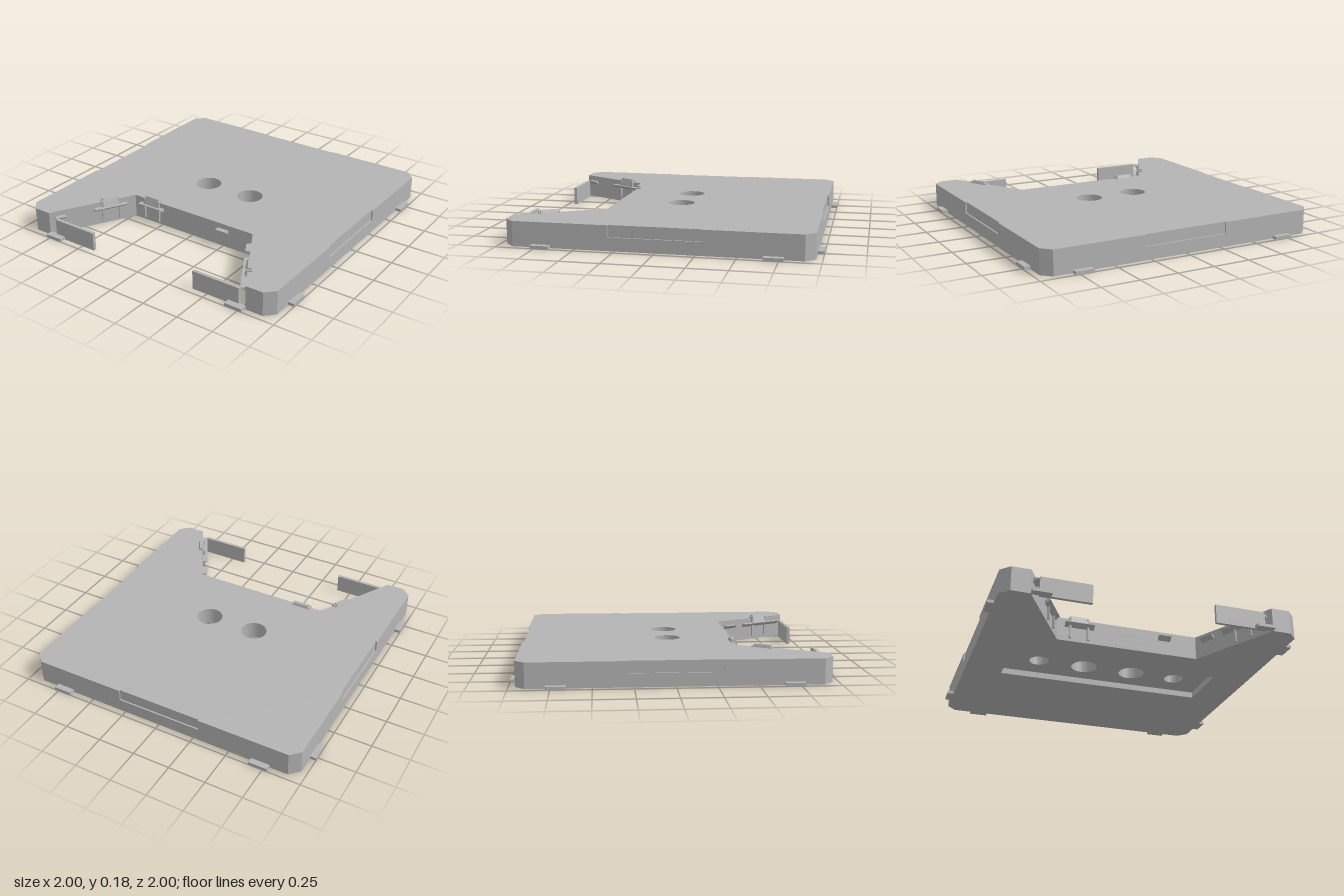
import * as THREE from 'three';

export function createModel() {
  const model = new THREE.Group();
  const grey = new THREE.MeshStandardMaterial({ color: 0xb4b4b4 });
  grey.name = 'plain grey';

  const add = (parent, name, geometry) => {
    const mesh = new THREE.Mesh(geometry, grey);
    mesh.name = name;
    parent.add(mesh);
    return mesh;
  };
  // Box from its lower and upper limits on each axis
  const box = (parent, name, x0, x1, y0, y1, z0, z1) =>
    add(parent, name, new THREE.BoxGeometry(x1 - x0, y1 - y0, z1 - z0))
      .position.set((x0 + x1) / 2, (y0 + y1) / 2, (z0 + z1) / 2);
  // Profile in (z, y), swept along x from x0 to x1
  const prism = (parent, name, profile, x0, x1) => {
    const shape = new THREE.Shape(profile.map(([z, y]) => new THREE.Vector2(z, y)));
    const geometry = new THREE.ExtrudeGeometry(shape, { depth: x1 - x0, bevelEnabled: false });
    geometry.rotateY(-Math.PI / 2).translate(x1, 0, 0);
    return add(parent, name, geometry);
  };

  // Plate outline, as (x, z): chamfered square with a tapered opening at the front.
  // A recess of depth d may be cut into the middle of the back and side edges.
  const outline = (d) => {
    const half = [[0.48, 0.43], [0.78, 0.96], [0.9, 0.96], [0.96, 0.9]];
    if (d) half.push([0.96, 0.287], [0.96 - d, 0.287], [0.96 - d, -0.287], [0.96, -0.287]);
    half.push([0.96, -0.9], [0.9, -0.96]);
    if (d) half.push([0.287, -0.96], [0.287, -0.96 + d]);
    const mirrored = half.map(([x, z]) => [-x, z]).reverse();
    return new THREE.Shape([...half, ...mirrored].map(([x, z]) => new THREE.Vector2(x, -z)));
  };
  const round = (x, r) => new THREE.Path().absarc(x, 0, r, 0, Math.PI * 2, true);
  const through = () => [round(-0.172, 0.088), round(0.172, 0.088)];
  const blind = () => [round(-0.49, 0.066), round(0.49, 0.066)];
  const channel = new THREE.Path([[-0.71, -0.19], [-0.71, 0.19], [0.71, 0.19], [0.71, -0.19]]
    .map(([x, z]) => new THREE.Vector2(x, z)));

  // Plate in layers, each with its own openings
  const layers = [
    ['plateBase', 0, 0.04, 0, [channel]],
    ['plateLower', 0.04, 0.085, 0, [...through(), ...blind()]],
    ['plateUpper', 0.085, 0.14, 0.01, [...through(), ...blind()]],
    ['plateTop', 0.14, 0.16, 0.01, through()],
  ];
  for (const [name, y0, y1, recess, holes] of layers) {
    const shape = outline(recess);
    shape.holes.push(...holes);
    const geometry = new THREE.ExtrudeGeometry(shape, { depth: y1 - y0, bevelEnabled: false, curveSegments: 24 });
    geometry.rotateX(-Math.PI / 2).translate(0, y0, 0);
    add(model, name, geometry);
  }

  // Thin locating tabs around the foot, two on each side
  for (let side = 0; side < 4; side++) {
    const group = new THREE.Group();
    group.name = 'edgeTabs';
    group.rotation.y = side * Math.PI / 2;
    for (const s of [-1, 1]) {
      const x = s * 0.717;
      box(group, 'edgeTab', x - 0.061, x + 0.061, 0, 0.02, 0.95, 1);
    }
    model.add(group);
  }

  // Upright panels across the front opening
  box(model, 'rightFrontPanel', -0.725, -0.4, 0, 0.125, 0.935, 0.957);
  box(model, 'leftFrontPanel', 0.395, 0.73, 0, 0.125, 0.935, 0.957);

  // Fittings on the opening's walls; local x runs along the wall, z points into the opening
  const wall = (name, x, angle, ledges, clip) => {
    const group = new THREE.Group();
    group.name = name;
    group.position.set(x, 0, 0.43);
    group.rotation.y = angle;
    // Wedge ledges, flat above and sloping underneath
    for (const [a, b] of ledges) {
      prism(group, 'wedgeLedge', [[0, 0.098], [0.035, 0.122], [0.035, 0.125], [0, 0.125]], a, b);
    }
    // Clip hooked over the plate's edge, with two slim legs
    prism(group, 'clipHook', [[-0.028, 0.16], [-0.02, 0.18], [0.002, 0.18], [0.02, 0.125], [0, 0.125], [0, 0.16]],
      clip - 0.055, clip + 0.055);
    for (const s of [-1, 1]) {
      const c = clip + s * 0.06;
      box(group, 'clipLeg', c - 0.007, c + 0.007, 0.02, 0.16, 0, 0.015);
      box(group, 'clipShoulder', c - 0.007, c + 0.007, 0.158, 0.168, -0.028, 0.015);
    }
    model.add(group);
  };
  const slant = Math.atan2(0.53, 0.3);
  wall('backWallFittings', 0, 0, [[-0.43, -0.235], [0.21, 0.295]], -0.335);
  wall('rightWallFittings', -0.48, slant, [[-0.3, -0.07], [-0.57, -0.5]], -0.18);
  wall('leftWallFittings', 0.48, -slant, [[0.06, 0.155], [0.23, 0.57]], 0.385);

  return model;
}
